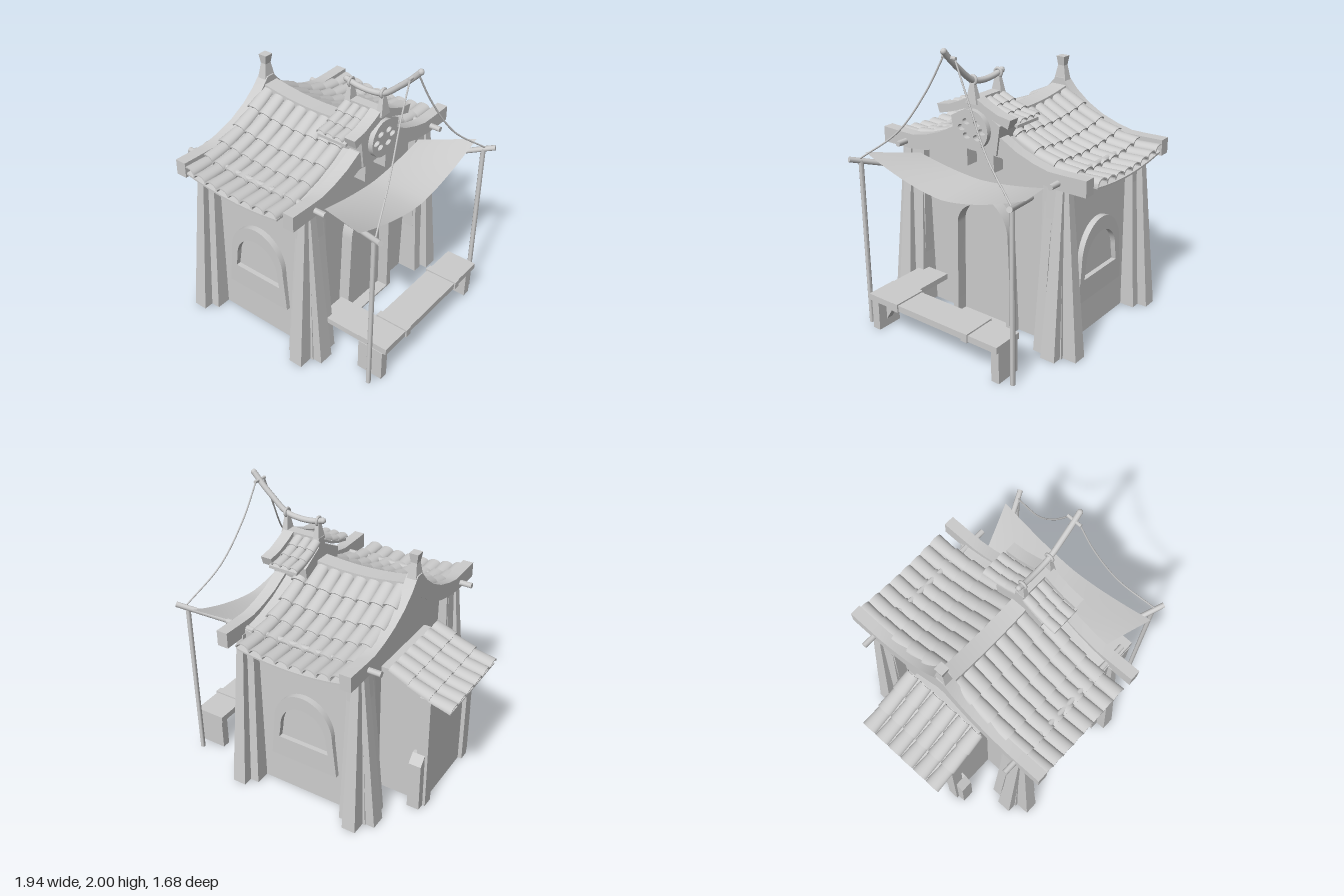
import * as THREE from 'three';
import { toCreasedNormals } from 'three/addons/utils/BufferGeometryUtils.js';

const V = (x, y, z) => new THREE.Vector3(x, y, z);
const mat = new THREE.MeshStandardMaterial({ color: 0xcccccc });
const thin = new THREE.MeshStandardMaterial({ color: 0xcccccc, side: THREE.DoubleSide });
const CX = -0.045; // middle of the house along x
const sag = x => -0.05 * Math.max(0, 1 - ((x - CX) / 0.45) ** 2);

function add(parent, name, geo, m = mat) {
  const mesh = new THREE.Mesh(geo, m);
  mesh.name = name;
  parent.add(mesh);
  return mesh;
}
function group(parent, name) {
  const g = new THREE.Group();
  g.name = name;
  parent.add(g);
  return g;
}
// Tapered block: bottom and top are [x0, x1, z0, z1]
function prism(bottom, top, y0, y1) {
  const geo = new THREE.BoxGeometry(1, 1, 1), p = geo.attributes.position;
  for (let i = 0; i < p.count; i++) {
    const up = p.getY(i) > 0, r = up ? top : bottom;
    p.setXYZ(i, r[p.getX(i) > 0 ? 1 : 0], up ? y1 : y0, r[p.getZ(i) > 0 ? 3 : 2]);
  }
  geo.computeVertexNormals();
  return geo;
}
const box = (x0, x1, y0, y1, z0, z1) => prism([x0, x1, z0, z1], [x0, x1, z0, z1], y0, y1);
// Drop the faces lying on the ground, leaving a hollow wall
function openBottom(geo) {
  const p = (geo.index ? geo.toNonIndexed() : geo).attributes.position.array, keep = [];
  for (let i = 0; i < p.length; i += 9)
    if (Math.max(p[i + 1], p[i + 4], p[i + 7]) > 0.001) keep.push(...p.slice(i, i + 9));
  const open = new THREE.BufferGeometry();
  open.setAttribute('position', new THREE.Float32BufferAttribute(keep, 3));
  open.computeVertexNormals();
  return open;
}
const addHollow = (parent, name, geo) => add(parent, name, openBottom(geo), thin);
const tube = (pts, r, n = 24, sides = 8) =>
  new THREE.TubeGeometry(new THREE.CatmullRomCurve3(pts), n, r, sides);
function rod(parent, name, a, b, r) {
  const geo = new THREE.CylinderGeometry(r, r, a.distanceTo(b), 10);
  const mesh = add(parent, name, toCreasedNormals(geo, 0.8));
  mesh.position.copy(a).lerp(b, 0.5);
  mesh.quaternion.setFromUnitVectors(V(0, 1, 0), b.clone().sub(a).normalize());
}
const poly = pts => new THREE.Shape(pts.map(([x, y]) => new THREE.Vector2(x, y)));
// Half profile (from outside to the middle) mirrored into a full outline
const mirrored = (top, bottom) => {
  const flip = a => a.map(([z, y]) => [-z, y]);
  return poly([...top, ...flip(top).reverse(), ...flip(bottom), ...[...bottom].reverse()]);
};
// Extrude a symmetric z-y outline along x
function alongX(shape, x0, x1, steps = 1, bend = false) {
  const geo = new THREE.ExtrudeGeometry(shape, { depth: x1 - x0, steps, bevelEnabled: false, curveSegments: 16 });
  geo.rotateY(Math.PI / 2).translate(x0, 0, 0);
  if (bend) {
    const p = geo.attributes.position;
    for (let i = 0; i < p.count; i++) if (p.getY(i) > 0.9) p.setY(i, p.getY(i) + sag(p.getX(i)));
    geo.computeVertexNormals();
  }
  return toCreasedNormals(geo, 0.45);
}
function arch(path, w0, w1, y0, spring, top) {
  path.moveTo(-w0, y0);
  path.lineTo(w0, y0);
  path.lineTo(w1, spring);
  path.absellipse(0, spring, w1, top - spring, 0, Math.PI, false);
  path.lineTo(-w0, y0);
  return path;
}
function archFrame(outer, inner) {
  const s = arch(new THREE.Shape(), ...outer);
  s.holes.push(arch(new THREE.Path(), ...inner));
  return s;
}

// Unit barrel tile, arched over +y, running along +z and widening downhill
function tileGeometry() {
  const s = new THREE.Shape();
  s.absarc(0, 0, 1, 0, Math.PI, false);
  s.absarc(0, 0, 0.8, Math.PI, 0, true);
  const geo = new THREE.ExtrudeGeometry(s, { depth: 1, bevelEnabled: false, curveSegments: 8 });
  const p = geo.attributes.position;
  for (let i = 0; i < p.count; i++) {
    const k = 0.88 + 0.12 * p.getZ(i);
    p.setXY(i, p.getX(i) * k, p.getY(i) * k);
  }
  geo.computeVertexNormals();
  return toCreasedNormals(geo, 0.6);
}
const tileGeo = tileGeometry();
function tile(parent, a, b, r, lift) {
  const end = b.clone().add(V(0, lift, 0));
  const z = end.clone().sub(a), len = z.length();
  z.normalize();
  const x = V(0, 1, 0).cross(z).normalize(), y = z.clone().cross(x);
  const t = add(parent, 'roofTile', tileGeo, thin);
  t.quaternion.setFromRotationMatrix(new THREE.Matrix4().makeBasis(x, y, z));
  t.position.copy(a);
  t.scale.set(r, r * 0.72, len * 1.04);
}

export function createModel() {
  const root = new THREE.Group();
  root.name = 'smallShopHouse';

  // Hollow walls with gables
  const wallTop = [[0.6, 1.155], [0.5, 1.185], [0.35, 1.24], [0.2, 1.32], [0, 1.43]];
  addHollow(root, 'houseWalls', alongX(mirrored([[0.625, 0], ...wallTop], []), -0.44, 0.35, 10, true));

  // Clustered, tapering buttresses: [outward x range, z range] at foot and head
  const fins = [
    [[0.36, 0.52, 0.52, 0.70], [0.37, 0.46, 0.53, 0.65]],
    [[0.40, 0.50, 0.50, 0.80], [0.41, 0.46, 0.50, 0.69]],
    [[0.36, 0.585, 0.58, 0.69], [0.36, 0.475, 0.61, 0.66]],
    [[0.335, 0.42, 0.53, 0.73], [0.36, 0.42, 0.53, 0.65]],
    [[0.36, 0.54, 0.49, 0.56], [0.36, 0.455, 0.52, 0.58]],
  ];
  for (const sx of [-1, 1]) for (const sz of [-1, 1]) {
    const g = group(root, 'cornerButtress');
    const place = ([u0, u1, z0, z1]) => {
      const xs = [CX + sx * u0, CX + sx * u1].sort((a, b) => a - b);
      return [...xs, ...[sz * z0, sz * z1].sort((a, b) => a - b)];
    };
    for (const [foot, head] of fins) addHollow(g, 'buttressFin', prism(place(foot), place(head), 0, 1.18));
  }

  // Arched windows on front and back, arched doorway on the side
  const windowGeo = toCreasedNormals(new THREE.ExtrudeGeometry(
    archFrame([0.26, 0.23, 0.26, 0.55, 0.81], [0.195, 0.18, 0.42, 0.52, 0.71]),
    { depth: 0.06, bevelEnabled: false, curveSegments: 16 }), 0.45);
  for (const s of [1, -1]) {
    const w = add(root, 'windowFrame', windowGeo);
    w.position.set(-0.05, 0, s * 0.59);
    if (s < 0) w.rotation.y = Math.PI;
  }
  add(root, 'doorFrame', alongX(archFrame([0.26, 0.23, 0, 0.7, 0.95], [0.215, 0.2, 0.012, 0.7, 0.88]), 0.33, 0.43));

  // Main roof: deck, barrel tiles, ridge cap and curved gable rims
  const slope = [[0.05, 1.48], [0.2, 1.385], [0.35, 1.305], [0.5, 1.25], [0.66, 1.215], [0.83, 1.2]];
  const under = slope.slice(0, 5).map(([z, y]) => [z, y - 0.045]);
  add(root, 'roofDeck', alongX(mirrored([...slope].reverse(), [[0.83, 1.188], [0.72, 1.19], [0.7, 1.162], ...under.reverse()]), -0.48, 0.31, 12, true));
  add(root, 'roofDeckEnd', alongX(mirrored(slope.slice(0, 5).reverse(), under), 0.31, 0.39, 3, true));
  const tiles = group(root, 'mainRoofTiles');
  for (let c = 0; c < 8; c++) for (let r = 0; r < 5; r++) for (const s of [-1, 1]) {
    const x = -0.44 + c * 0.1, [z0, y0] = slope[r], [z1, y1] = slope[r + 1];
    tile(tiles, V(x, y0 + sag(x), s * z0), V(x, y1 + sag(x), s * z1), 0.055, 0.018);
  }
  add(root, 'ridgeCap', alongX(poly([[-0.065, 1.44], [0.065, 1.44], [0.06, 1.52], [-0.06, 1.52]]), -0.47, 0.25, 12, true));
  const rimTop = [[0.84, 1.27], [0.66, 1.265], [0.56, 1.265], [0.45, 1.29], [0.32, 1.335], [0.2, 1.4]];
  const rimBottom = [[0.84, 1.16], [0.6, 1.16], [0.45, 1.18], [0.32, 1.215], [0.2, 1.27]];
  add(root, 'leftRim', alongX(mirrored([...rimTop, [0.1, 1.48], [0.03, 1.56]], [...rimBottom, [0.03, 1.38]]), -0.54, -0.46));
  add(root, 'rightRim', alongX(mirrored(rimTop, rimBottom), 0.37, 0.45));
  add(root, 'finialPost', prism([-0.54, -0.46, -0.06, 0.06], [-0.522, -0.482, -0.022, 0.022], 1.48, 1.66));
  add(root, 'finialCap', prism([-0.525, -0.48, -0.025, 0.025], [-0.535, -0.47, -0.033, 0.033], 1.645, 1.71));
  for (const s of [-1, 1]) rod(root, 'eaveBeam', V(-0.63, 1.205, s * 0.635), V(0.53, 1.205, s * 0.635), 0.02);

  // Dormer with pierced round panel
  const dormer = group(root, 'dormer');
  add(dormer, 'dormerBody', alongX(poly([[-0.17, 1.28], [0.17, 1.28], [0.2, 1.48], [0, 1.59], [-0.2, 1.48]]), 0.2, 0.465));
  const disc = new THREE.Shape();
  disc.absarc(0, 1.43, 0.13, 0, Math.PI * 2);
  for (let i = 0; i < 6; i++) {
    const a = i * Math.PI / 3, h = new THREE.Path();
    h.absellipse(0.085 * Math.cos(a), 1.43 + 0.055 * Math.sin(a), 0.029, 0.02, 0, Math.PI * 2);
    disc.holes.push(h);
  }
  add(dormer, 'piercedPanel', alongX(disc, 0.46, 0.5));
  for (const s of [-1, 1]) add(dormer, 'bracket', box(0.37, 0.465, 1.16, 1.29, s * 0.11 - 0.04, s * 0.11 + 0.04));
  const small = [[0.03, 1.605], [0.11, 1.56], [0.2, 1.525], [0.305, 1.5]], smallDown = [...small].reverse();
  add(dormer, 'dormerDeck', alongX(mirrored(smallDown, smallDown.map(([z, y]) => [z, y - 0.02])), 0.2, 0.42));
  for (let c = 0; c < 3; c++) for (let r = 0; r < 3; r++) for (const s of [-1, 1]) {
    const x = 0.226 + c * 0.068, [z0, y0] = small[r], [z1, y1] = small[r + 1];
    tile(dormer, V(x, y0, s * z0), V(x, y1, s * z1), 0.037, 0.01);
  }
  add(dormer, 'dormerRim', alongX(mirrored(
    [[0.3, 1.545], [0.2, 1.56], [0.1, 1.6], [0.035, 1.635]],
    [[0.28, 1.485], [0.19, 1.51], [0.09, 1.545], [0.03, 1.57]]), 0.405, 0.485));
  add(dormer, 'dormerRidge', box(0.2, 0.485, 1.57, 1.635, -0.035, 0.035));

  // Curved boom held above the dormer
  const boom = group(root, 'boom');
  add(boom, 'boomPole', tube([V(0.19, 1.755, 0), V(0.27, 1.735, 0), V(0.38, 1.73, 0), V(0.48, 1.75, 0), V(0.6, 1.845, 0), V(0.68, 1.92, 0), V(0.735, 1.98, 0)], 0.02, 32, 10));
  for (const [x, y] of [[0.19, 1.755], [0.735, 1.98]]) add(boom, 'boomEnd', new THREE.SphereGeometry(0.021, 10, 6)).position.set(x, y, 0);
  for (const x of [0.225, 0.475]) {
    add(boom, 'boomSupport', prism([x - 0.025, x + 0.025, -0.045, 0.045], [x - 0.012, x + 0.012, -0.016, 0.016], 1.6, 1.73));
    const ring = add(boom, 'boomRing', new THREE.TorusGeometry(0.027, 0.01, 8, 16));
    ring.position.set(x, x < 0.3 ? 1.745 : 1.75, 0);
    ring.rotation.y = Math.PI / 2;
  }
  rod(boom, 'crossPin', V(0.69, 1.935, -0.055), V(0.69, 1.935, 0.055), 0.011);

  // Awning cloth, its poles and ropes
  const awning = group(root, 'awning');
  const cloth = new THREE.PlaneGeometry(1, 2, 8, 20), cp = cloth.attributes.position;
  for (let i = 0; i < cp.count; i++) {
    const u = cp.getX(i) + 0.5, v = cp.getY(i);
    const mid = 1.07 - 0.02 * u, edge = 1.14 + 0.08 * u;
    cp.setXYZ(i, 0.43 + 0.37 * u, mid + (edge - mid) * Math.abs(v) ** 1.6, -v * (0.52 + 0.14 * u));
  }
  cloth.computeVertexNormals();
  add(awning, 'awningCloth', cloth, thin);
  for (const s of [-1, 1]) {
    rod(awning, 'awningPost', V(0.88, 0, s * 0.62), V(0.88, 1.2, s * 0.62), 0.017);
    rod(awning, 'awningArm', V(0.43, 1.05, s * 0.42), V(0.95, 1.215, s * 0.655), 0.019);
    add(awning, 'rope', tube([V(0.69, 1.935, s * 0.045), V(0.72, 1.7, s * 0.17), V(0.79, 1.42, s * 0.36), V(0.89, 1.21, s * 0.62)], 0.006, 24, 6));
  }

  // L-shaped bench
  const bench = group(root, 'bench');
  add(bench, 'benchSeat', box(0.73, 0.955, 0.23, 0.275, -0.555, 0.545));
  add(bench, 'benchArm', box(0.42, 0.76, 0.23, 0.27, 0.32, 0.545));
  for (const z of [-0.3, 0.3]) add(bench, 'benchStrap', box(0.72, 0.965, 0.225, 0.285, z - 0.025, z + 0.025));
  for (const s of [-1, 1]) {
    add(bench, 'benchLeg', box(0.74, 0.93, 0, 0.23, s * 0.52 - 0.03, s * 0.52 + 0.03));
    const brace = new THREE.ExtrudeGeometry(poly([[0, 0.04], [0.12, 0.23], [0, 0.23]]), { depth: 0.05, bevelEnabled: false });
    const b = add(bench, 'legBrace', brace);
    b.rotation.y = s * Math.PI / 2;
    b.position.set(0.835 - s * 0.025, 0, s * 0.5);
  }

  // Lean-to shed with corner posts and its own tiled roof
  const shed = group(root, 'leanTo');
  const shedWall = new THREE.ExtrudeGeometry(poly([[-0.79, 0], [-0.43, 0], [-0.43, 1.0], [-0.52, 1.0], [-0.79, 0.88]]), { depth: 0.6, bevelEnabled: false });
  addHollow(shed, 'shedWalls', shedWall.translate(0, 0, -0.3));
  const lean = [[-0.52, 1.03], [-0.66, 0.96], [-0.81, 0.895], [-0.965, 0.85]];
  const deck = new THREE.ExtrudeGeometry(poly([...lean, ...lean.map(([x, y]) => [x, y - 0.008]).reverse()].reverse()), { depth: 0.68, bevelEnabled: false });
  add(shed, 'shedDeck', deck.translate(0, 0, -0.345));
  for (let c = 0; c < 6; c++) for (let r = 0; r < 3; r++) {
    const z = -0.305 + c * 0.119, [x0, y0] = lean[r], [x1, y1] = lean[r + 1];
    tile(shed, V(x0, y0, z), V(x1, y1, z), 0.058, 0.012);
  }
  for (const s of [-1, 1]) {
    const span = (a, b) => [s * a, s * b].sort((p, q) => p - q);
    addHollow(shed, 'shedPost', box(-0.82, -0.74, 0, 0.885, ...span(0.25, 0.33)));
    addHollow(shed, 'shedButtress', box(-0.8, -0.71, 0, 0.37, ...span(0.3, 0.385)));
    add(shed, 'buttressCap', prism([-0.8, -0.71, ...span(0.3, 0.385)], [-0.8, -0.71, ...span(0.3, 0.33)], 0.37, 0.43));
  }
  return root;
}
